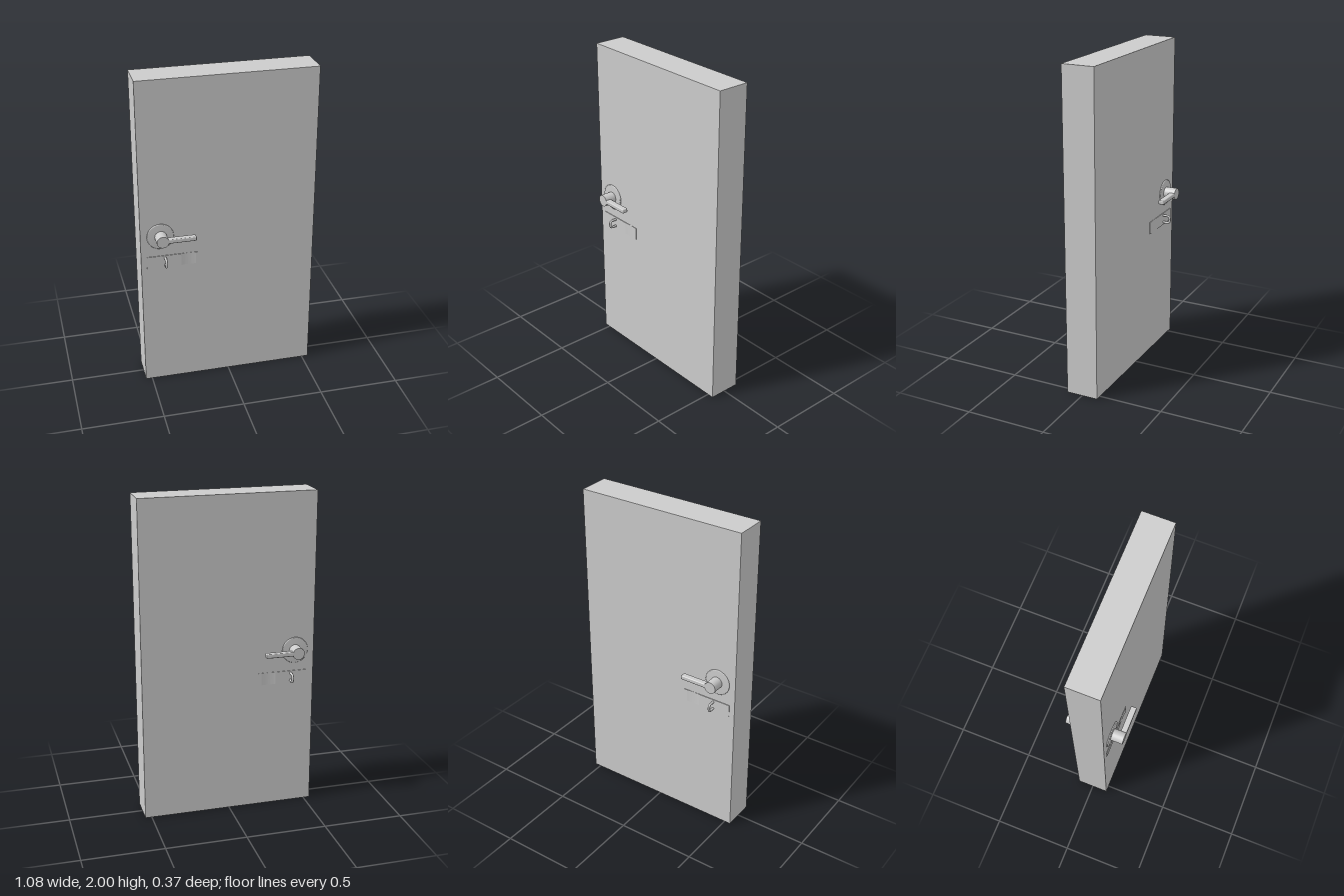
import * as THREE from 'three';
import { RoundedBoxGeometry } from 'three/addons/geometries/RoundedBoxGeometry.js';

const material = new THREE.MeshStandardMaterial({ color: 0xcccccc });

function part(name, geometry, x = 0, y = 0, z = 0) {
  const mesh = new THREE.Mesh(geometry, material);
  mesh.name = name;
  mesh.position.set(x, y, z);
  return mesh;
}

// Lever set: round rosette, neck and lever, pointing out along +z from the door face
function createHandle() {
  const handle = new THREE.Group();
  const rosette = new THREE.LatheGeometry([
    new THREE.Vector2(0.082, 0), new THREE.Vector2(0.082, 0.004),
    new THREE.Vector2(0.078, 0.008), new THREE.Vector2(0, 0.009),
  ], 32).rotateX(Math.PI / 2);
  const neck = new THREE.CylinderGeometry(0.037, 0.037, 0.083, 24).rotateX(Math.PI / 2);
  const lever = new RoundedBoxGeometry(0.204, 0.027, 0.037, 3, 0.006);
  handle.add(
    part('rosette', rosette, 0, 0, 0.1),
    part('neck', neck, 0.002, 0, 0.1415),
    part('lever', lever, 0.104, 0, 0.1645),
  );
  return handle;
}

// Thin latch plate with a shallow dip near its inner end, and a bail loop
function createLatch() {
  const latch = new THREE.Group();
  const profile = new THREE.Shape();
  profile.moveTo(-0.505, 0);
  profile.lineTo(-0.187, 0);
  profile.lineTo(-0.187, -0.004);
  profile.lineTo(-0.205, -0.004);
  profile.quadraticCurveTo(-0.25, 0.002, -0.295, -0.004);
  profile.lineTo(-0.505, -0.004);
  const plate = new THREE.ExtrudeGeometry(profile, { depth: 0.078, bevelEnabled: false, curveSegments: 12 })
    .translate(0, 0, -0.039).rotateX(-Math.PI / 2);

  const path = new THREE.CurvePath();
  const v = (y, z) => new THREE.Vector3(0, y, z);
  path.add(new THREE.LineCurve3(v(-0.023, 0.095), v(-0.023, 0.128)));
  path.add(new THREE.CubicBezierCurve3(v(-0.023, 0.128), v(-0.023, 0.143), v(-0.017, 0.148), v(0, 0.148)));
  path.add(new THREE.CubicBezierCurve3(v(0, 0.148), v(0.017, 0.148), v(0.023, 0.143), v(0.023, 0.128)));
  path.add(new THREE.LineCurve3(v(0.023, 0.128), v(0.023, 0.095)));
  latch.add(
    part('latchPlate', plate, 0, 0, 0.1),
    part('latchLoop', new THREE.TubeGeometry(path, 36, 0.0075, 10), -0.393, 0, 0),
  );
  return latch;
}

export function createModel() {
  const model = new THREE.Group();
  model.name = 'door';
  model.add(part('doorSlab', new THREE.BoxGeometry(1.08, 2, 0.2), 0, 1, 0));

  // Same hardware on both faces; a half turn about x carries it to the back
  for (const side of ['front', 'back']) {
    const handle = createHandle();
    const latch = createLatch();
    handle.name = side + 'Handle';
    latch.name = side + 'Latch';
    handle.position.set(-0.419, 1.02, 0);
    latch.position.y = 0.848;
    if (side === 'back') handle.rotation.x = latch.rotation.x = Math.PI;
    model.add(handle, latch);
  }
  return model;
}
